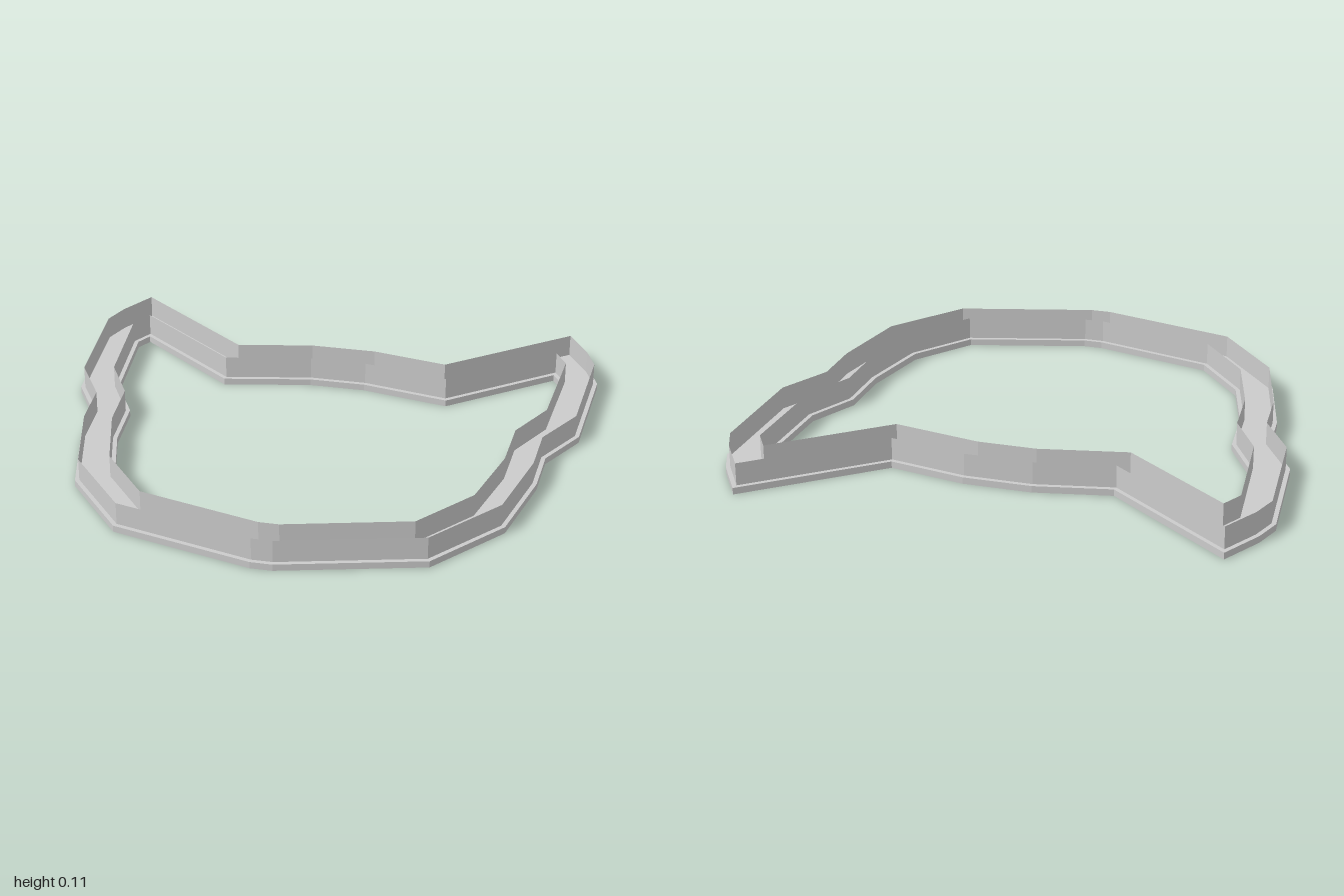
import * as THREE from 'three';

const BASE = 0.025, TOP = 0.11, LIP = 0.016;

// Half outlines (x, z) from the chin round to the brow
const outerHalf = [[0.04, 0.885], [0.56, 0.755], [0.783, 0.485], [0.857, 0.17], [0.867, -0.02],
  [0.972, -0.205], [1, -0.64], [0.962, -0.74], [0.872, -0.888], [0.41, -0.535], [0.127, -0.588]];
const innerHalf = [[0.035, 0.745], [0.482, 0.632], [0.65, 0.425], [0.72, 0.155], [0.732, -0.06],
  [0.828, -0.24], [0.858, -0.622], [0.825, -0.678], [0.44, -0.384], [0.107, -0.447]];

// Mirror a half outline into a closed loop
const mirror = half => [...half, ...half.map(([x, z]) => [-x, z]).reverse()]
  .map(([x, z]) => new THREE.Vector2(x, z));

// Move every side of a loop sideways by d, with mitred corners
function offset(loop, d) {
  const n = loop.length;
  const normal = (a, b) => new THREE.Vector2(a.y - b.y, b.x - a.x).normalize();
  return loop.map((p, i) => {
    const n1 = normal(loop[(i + n - 1) % n], p);
    const n2 = normal(p, loop[(i + 1) % n]);
    return n1.clone().add(n2).multiplyScalar(d / (1 + n1.dot(n2))).add(p);
  });
}

// Thin upright wall following a loop
function wall(loop, name, material) {
  const pos = [];
  loop.forEach((a, i) => {
    const b = loop[(i + 1) % loop.length];
    pos.push(a.x, BASE, a.y, a.x, TOP, a.y, b.x, TOP, b.y,
      a.x, BASE, a.y, b.x, TOP, b.y, b.x, BASE, b.y);
  });
  const g = new THREE.BufferGeometry();
  g.setAttribute('position', new THREE.Float32BufferAttribute(pos, 3));
  g.computeVertexNormals();
  const mesh = new THREE.Mesh(g, material);
  mesh.name = name;
  return mesh;
}

export function createModel() {
  const group = new THREE.Group();
  group.name = 'catHeadFrame';
  const material = new THREE.MeshStandardMaterial({
    color: 0xcccccc, flatShading: true, side: THREE.DoubleSide });
  const outer = mirror(outerHalf), inner = mirror(innerHalf);

  // Flat base ring, forming the channel floor and the narrow lips
  const shape = new THREE.Shape(outer);
  shape.holes.push(new THREE.Path(inner));
  const geometry = new THREE.ExtrudeGeometry(shape, { depth: BASE, bevelEnabled: false });
  geometry.rotateX(Math.PI / 2).translate(0, BASE, 0);
  const base = new THREE.Mesh(geometry, material);
  base.name = 'baseRing';
  group.add(base);

  // Two upright walls with an open channel between them
  group.add(wall(offset(outer, -LIP * outerSign(outer)), 'outerWall', material));
  group.add(wall(offset(inner, LIP * outerSign(inner)), 'innerWall', material));
  return group;
}

// +1 when the side normals used by offset() point away from the loop's middle
function outerSign(loop) {
  return THREE.ShapeUtils.area(loop) > 0 ? -1 : 1;
}
